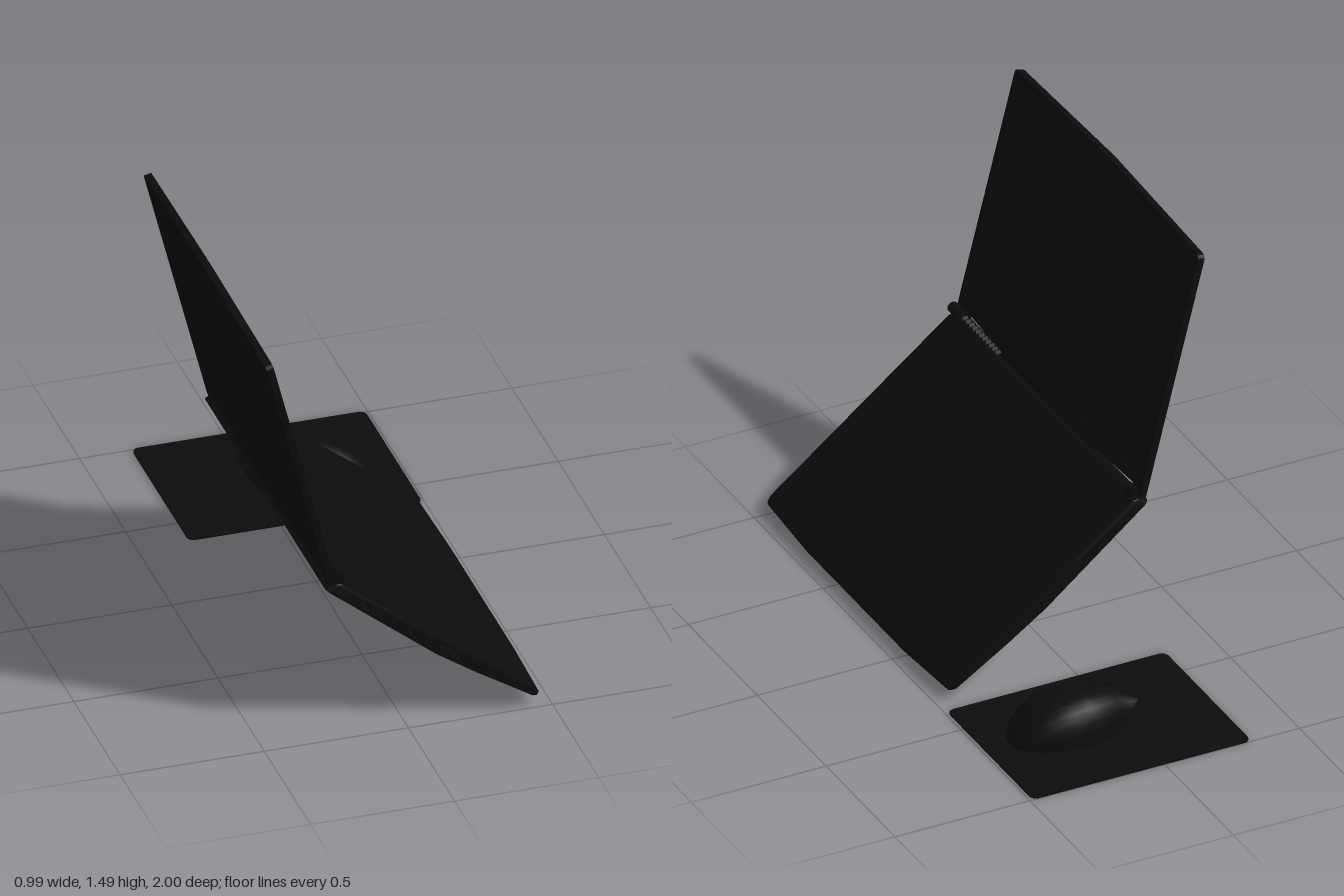
import * as THREE from 'three';
import { toCreasedNormals } from 'three/addons/utils/BufferGeometryUtils.js';

const MID_Z = 0.335;   // centre of the laptop across z
const HALF = 0.665;    // half of its width

const shell = new THREE.MeshStandardMaterial({ name: 'black shell', color: 0x0c0c0c });
const glass = new THREE.MeshStandardMaterial({ name: 'screen black', color: 0x0f0f0f });
const rubber = new THREE.MeshStandardMaterial({ name: 'rubber black', color: 0x090909 });

function add(parent, name, geometry, material, x = 0, y = 0, z = 0) {
  const mesh = new THREE.Mesh(geometry, material);
  mesh.name = name;
  mesh.position.set(x, y, z);
  parent.add(mesh);
  return mesh;
}

function roundedRect(w, h, r) {
  const s = new THREE.Shape();
  s.absarc(w / 2 - r, h / 2 - r, r, 0, Math.PI / 2);
  s.absarc(-w / 2 + r, h / 2 - r, r, Math.PI / 2, Math.PI);
  s.absarc(-w / 2 + r, -h / 2 + r, r, Math.PI, Math.PI * 1.5);
  s.absarc(w / 2 - r, -h / 2 + r, r, Math.PI * 1.5, Math.PI * 2);
  s.closePath();
  return s;
}

const points = (list) => list.map(([x, y]) => new THREE.Vector2(x, y));
const flat = (shape, depth) =>
  new THREE.ExtrudeGeometry(shape, { depth, bevelEnabled: false, curveSegments: 6 });

// Keyboard half: side profile run across the width, with ports cut through
function baseGeometry() {
  const profile = new THREE.Shape(points([
    [-0.027, -0.046], [0.467, -0.055], [0.636, -0.044], [0.766, -0.031],
    [0.888, -0.023], [0.898, -0.016], [0.896, -0.004], [0.885, 0], [0, 0], [-0.02, -0.014],
  ]));
  const ports = [
    [0.139, -0.0245, 0.04, 0.022], [0.2135, -0.029, 0.04, 0.02], [0.338, -0.028, 0.025, 0.018],
    [0.383, -0.028, 0.015, 0.016], [0.481, -0.025, 0.05, 0.007], [0.534, -0.0275, 0.04, 0.014],
  ];
  for (const [x, y, w, h] of ports) {
    profile.holes.push(new THREE.Path(points([
      [x - w / 2, y - h / 2], [x - w / 2, y + h / 2], [x + w / 2, y + h / 2], [x + w / 2, y - h / 2],
    ])));
  }
  const edge = [0.665, 0.663, 0.658, 0.652, 0.645, 0.55, 0.45, 0.35];
  const stations = [...edge.map((u) => -u), ...edge.slice().reverse()];
  const n = stations.length - 1;
  const g = new THREE.ExtrudeGeometry(profile, { depth: 1, steps: n, bevelEnabled: false });
  const p = g.attributes.position;
  // Rounded corners and a gently bowed front edge
  for (let i = 0; i < p.count; i++) {
    const u = stations[Math.round(p.getZ(i) * n)];
    const r = 0.02, e = Math.min(r, HALF - Math.abs(u));
    const corner = r - Math.sqrt(r * r - (r - e) ** 2);
    const bow = 0.016 * Math.max(0, (Math.abs(u) - 0.35) / 0.315);
    const x = p.getX(i);
    p.setZ(i, u);
    if (x > 0.8) p.setX(i, x - corner - bow);
    else if (x < 0.02) p.setX(i, x + corner);
  }
  return toCreasedNormals(g, 0.5);
}

// Lid outline: peaked top, slim gaps along the hinge edge
function lidShape() {
  const s = new THREE.Shape();
  s.moveTo(-HALF, -0.012);
  s.lineTo(-0.605, -0.012);
  s.lineTo(-0.605, 0.021);
  s.lineTo(-0.335, 0.007);
  s.lineTo(-0.335, -0.012);
  s.lineTo(0.335, -0.012);
  s.lineTo(0.335, 0.007);
  s.lineTo(0.605, 0.021);
  s.lineTo(0.605, -0.012);
  s.lineTo(HALF, -0.012);
  s.lineTo(HALF, 0.877);
  s.quadraticCurveTo(HALF, 0.897, HALF - 0.02, 0.898);
  s.lineTo(0.03, 0.917);
  s.lineTo(-0.03, 0.917);
  s.lineTo(-HALF + 0.02, 0.898);
  s.quadraticCurveTo(-HALF, 0.897, -HALF, 0.877);
  s.closePath();
  return s;
}

function buildLaptop() {
  const laptop = new THREE.Group();
  laptop.name = 'laptop';
  laptop.position.z = MID_Z;

  const base = new THREE.Group();
  base.name = 'base';
  base.position.set(-0.235, 0.594, 0);
  base.rotation.z = -0.662;
  laptop.add(base);
  add(base, 'baseBody', baseGeometry(), shell);
  const pad = flat(roundedRect(0.26, 0.38, 0.012), 0.003).rotateX(-Math.PI / 2);
  add(base, 'touchpad', pad, shell, 0.70, 0, 0.075);

  // Low keys
  const key = new THREE.BoxGeometry(0.052, 0.002, 0.062);
  for (let row = 0; row < 6; row++) {
    for (let col = 0; col < 17; col++) {
      add(base, 'key', key, shell, 0.155 + row * 0.062, 0.001, (col - 8) * 0.071);
    }
  }
  // Underside feet
  for (const x of [0.05, 0.44]) {
    add(base, 'foot', new THREE.BoxGeometry(0.025, 0.004, 1.0), rubber, x, x < 0.2 ? -0.0485 : -0.055, 0);
  }

  const lid = new THREE.Group();
  lid.name = 'lid';
  lid.position.set(-0.262, 0.6, 0);
  lid.rotation.z = 0.247;
  laptop.add(lid);
  add(lid, 'lidBack', flat(lidShape(), 0.02).rotateY(Math.PI / 2), shell, -0.013);
  const frame = lidShape();
  frame.holes.push(new THREE.Path(points([[-0.63, 0.05], [-0.63, 0.855], [0.63, 0.855], [0.63, 0.05]])));
  add(lid, 'bezel', flat(frame, 0.005).rotateY(Math.PI / 2), shell, 0.007);
  add(lid, 'screen', new THREE.BoxGeometry(0.002, 0.805, 1.26), glass, 0.008, 0.4525, 0);

  // Hinge knuckles at both ends and vent fins in the hinge gap
  for (const side of [-1, 1]) {
    const knuckle = new THREE.CylinderGeometry(0.02, 0.02, 0.06, 10).rotateX(Math.PI / 2);
    add(laptop, 'hinge', knuckle, shell, -0.236, 0.612, side * 0.634);
  }
  for (let i = 0; i < 11; i++) {
    const fin = add(laptop, 'ventFin', new THREE.BoxGeometry(0.02, 0.022, 0.007), shell,
      -0.25, 0.594, 0.36 + i * 0.024);
    fin.rotation.x = 0.5;
  }
  return laptop;
}

// Mouse body lofted along x: [x, bottom, top, zMin, zMax]
function mouseGeometry() {
  const sections = [
    [-0.05, 0.084, 0.086, -0.69, -0.63], [-0.045, 0.074, 0.091, -0.72, -0.605],
    [-0.02, 0.042, 0.105, -0.735, -0.57], [0.01, 0.014, 0.12, -0.747, -0.55],
    [0.04, 0.004, 0.132, -0.76, -0.545], [0.09, 0.004, 0.148, -0.78, -0.545],
    [0.15, 0.004, 0.155, -0.792, -0.553], [0.21, 0.004, 0.15, -0.795, -0.543],
    [0.27, 0.004, 0.13, -0.785, -0.535], [0.32, 0.004, 0.1, -0.765, -0.548],
    [0.36, 0.004, 0.063, -0.74, -0.572], [0.385, 0.004, 0.034, -0.71, -0.6],
    [0.397, 0.005, 0.012, -0.68, -0.63],
  ];
  const N = 28, pos = [], index = [];
  for (const [x, y0, y1, z0, z1] of sections) {
    for (let j = 0; j < N; j++) {
      const a = (j / N) * Math.PI * 2, c = Math.cos(a), s = Math.sin(a);
      pos.push(x, s > 0 ? y0 + (y1 - y0) * s ** 0.75 : y0,
        (z0 + z1) / 2 + ((z1 - z0) / 2) * Math.sign(c) * Math.abs(c) ** 0.6);
    }
  }
  for (let i = 0; i < sections.length - 1; i++) {
    for (let j = 0; j < N; j++) {
      const k = (j + 1) % N, a = i * N + j, b = a + N, c = (i + 1) * N + k, d = i * N + k;
      index.push(a, b, d, b, c, d);
    }
  }
  // End caps
  const last = (sections.length - 1) * N;
  for (let j = 1; j < N - 1; j++) index.push(0, j, j + 1, last, last + j + 1, last + j);
  const g = new THREE.BufferGeometry();
  g.setAttribute('position', new THREE.Float32BufferAttribute(pos, 3));
  g.setIndex(index);
  return toCreasedNormals(g, 0.8);
}

export function createModel() {
  const model = new THREE.Group();
  model.name = 'laptopSet';
  model.add(buildLaptop());

  const mat = flat(roundedRect(0.81, 0.622, 0.025), 0.005).rotateX(-Math.PI / 2);
  add(model, 'mousePad', mat, shell, 0.085, 0, -0.689);

  const mouse = new THREE.Group();
  mouse.name = 'mouse';
  model.add(mouse);
  add(mouse, 'mouseBody', mouseGeometry(), shell);
  const wheel = new THREE.CylinderGeometry(0.022, 0.022, 0.018, 20).rotateX(Math.PI / 2);
  add(mouse, 'scrollWheel', wheel, rubber, 0.04, 0.117, -0.655);
  add(mouse, 'topButton', new THREE.BoxGeometry(0.03, 0.008, 0.014), rubber, 0.1, 0.148, -0.662).rotation.z = 0.2;
  return model;
}
